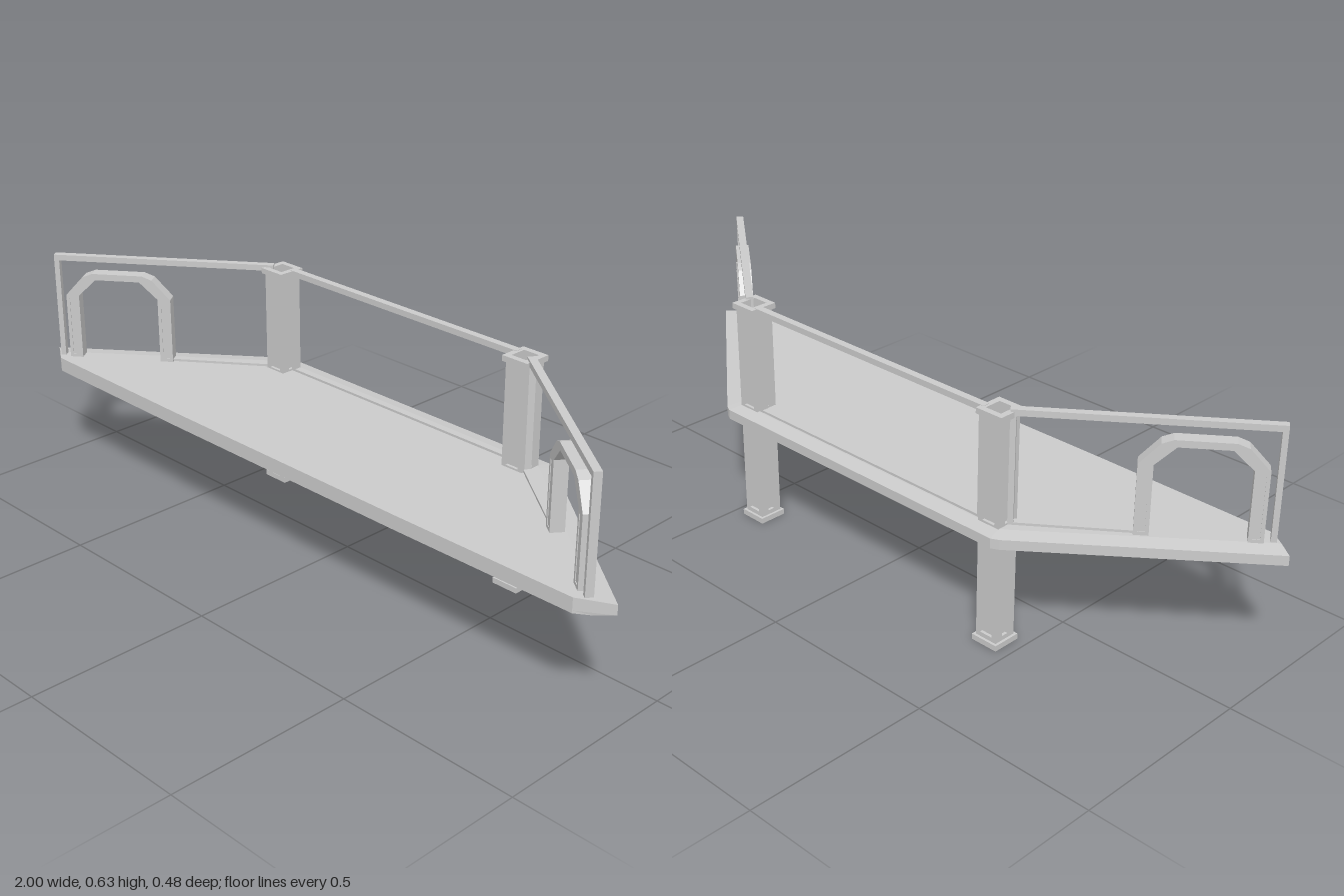
import * as THREE from 'three';

const material = new THREE.MeshStandardMaterial({ color: 0xcccccc, flatShading: true });
const thin = new THREE.MeshStandardMaterial({ color: 0xcccccc, flatShading: true, side: THREE.DoubleSide });

function add(parent, name, geometry, x = 0, y = 0, z = 0, mat = material) {
  const mesh = new THREE.Mesh(geometry, mat);
  mesh.name = name;
  mesh.position.set(x, y, z);
  parent.add(mesh);
  return mesh;
}

function polygon(points, Type = THREE.Shape) {
  return new Type(points.map(([x, y]) => new THREE.Vector2(x, y)));
}

function rect(w, h, x = 0, y = 0) {
  return [[x - w / 2, y - h / 2], [x + w / 2, y - h / 2], [x + w / 2, y + h / 2], [x - w / 2, y + h / 2]];
}

function extrude(points, depth, hole) {
  const shape = polygon(points);
  if (hole) shape.holes.push(polygon(hole, THREE.Path));
  return new THREE.ExtrudeGeometry(shape, { depth, bevelEnabled: false });
}

const mirrorX = pts => pts.concat(pts.map(([x, y]) => [-x, y]).reverse());

const POST = { x: 0.43, z: -0.172, size: 0.064 };
const FLOOR = 0.333;

// Deck: two sheets, a chamfered rim along the back and sides, a front edge
function makeDeck() {
  const deck = new THREE.Group();
  deck.name = 'deck';
  const outer = mirrorX([[1, 0.18], [0.49, -0.23], [0.47, -0.24]]);
  const inset = mirrorX([[0.96, 0.205], [0.475, -0.192], [0.46, -0.2]]);
  const front = [[-0.92, 0.232], [-0.4, 0.237], [0.4, 0.237], [0.92, 0.232]];

  for (const [name, y, dir] of [['deckTop', FLOOR, 1], ['deckUnderside', 0.294, -1]]) {
    const shape = polygon([...inset, ...front].map(([x, z]) => [x, -dir * z]));
    for (const s of [-1, 1]) {
      shape.holes.push(polygon(rect(0.05, 0.05, s * POST.x, -dir * POST.z), THREE.Path));
    }
    add(deck, name, new THREE.ShapeGeometry(shape).rotateX(-dir * Math.PI / 2), 0, y, 0, thin);
  }

  // Consecutive rows of the rim, from the top sheet round to the underside
  const strip = (name, rows) => {
    const pos = [];
    for (let r = 0; r < rows.length - 1; r++) {
      const [a, ya] = rows[r], [b, yb] = rows[r + 1];
      for (let i = 0; i < a.length - 1; i++) {
        const p = (l, k, y) => [l[k][0], y, l[k][1]];
        pos.push(...p(a, i, ya), ...p(b, i, yb), ...p(b, i + 1, yb));
        pos.push(...p(a, i, ya), ...p(b, i + 1, yb), ...p(a, i + 1, ya));
      }
    }
    const g = new THREE.BufferGeometry();
    g.setAttribute('position', new THREE.Float32BufferAttribute(pos, 3));
    g.computeVertexNormals();
    add(deck, name, g, 0, 0, 0, thin);
  };
  // The rim's front tips meet the ends of the front edge
  const close = pts => [front[3], ...pts, front[0]];
  strip('deckRim', [[close(inset), FLOOR], [close(outer), 0.327], [close(outer), 0.301], [close(inset), 0.294]]);
  strip('deckFrontEdge', [[front, FLOOR], [front, 0.294]]);
  return deck;
}

// Rectangular frame around a recessed panel, facing +z
function framedPanel(parent, name, w, h, border, depth) {
  const panel = new THREE.Group();
  panel.name = name;
  add(panel, 'frame', extrude(rect(w, h), depth, rect(w - 2 * border, h - 2 * border)));
  add(panel, 'recess', new THREE.PlaneGeometry(w, h), 0, 0, 0.001);
  parent.add(panel);
  return panel;
}

// Hollow square post, panelled below and above the deck
function makePost(side) {
  const post = new THREE.Group();
  post.name = 'post';
  const s = POST.size, t = 0.009;
  for (const [name, y0, y1] of [['lowerPanel', 0.014, 0.3], ['upperPanel', 0.325, 0.612]]) {
    for (let i = 0; i < 4; i++) {
      const p = framedPanel(post, name, i % 2 ? s - 2 * t : s, y1 - y0, 0.013, t);
      const a = i * Math.PI / 2, r = s / 2 - t;
      p.rotation.y = a;
      p.position.set(Math.sin(a) * r, (y0 + y1) / 2, Math.cos(a) * r);
    }
  }
  for (const [name, y] of [['base', 0], ['cap', 0.61]]) {
    const ring = extrude(rect(0.078, 0.078), 0.015, rect(0.046, 0.046)).rotateX(-Math.PI / 2);
    add(post, name, ring, 0, y, 0);
  }
  post.position.set(side * POST.x, 0, POST.z);
  return post;
}

// Railing running along local x, with top and bottom rails and end uprights
function makeRailing(name, length, top, gaps) {
  const g = new THREE.Group();
  g.name = name;
  add(g, 'topRail', new THREE.BoxGeometry(length, 0.016, 0.02), 0, top - 0.008, 0);
  for (const s of [-1, 1]) {
    add(g, 'upright', new THREE.BoxGeometry(0.014, top - FLOOR, 0.02), s * (length / 2 - 0.007), (top + FLOOR) / 2, 0);
  }
  for (const [a, b] of gaps) {
    add(g, 'bottomRail', new THREE.BoxGeometry(b - a, 0.007, 0.02), (a + b) / 2, FLOOR + 0.003, 0);
  }
  return g;
}

// Chamfered arch with panelled legs
function makeArch() {
  const arch = new THREE.Group();
  arch.name = 'arch';
  const depth = 0.036, w = 0.148, inW = 0.112, spring = 0.517;
  const half = [
    [-inW, FLOOR], [-w, FLOOR], [-w, spring], [-0.098, 0.572], [-0.07, 0.583],
  ];
  const inner = [[0.062, 0.565], [inW, spring]];
  const outline = [
    ...half, ...half.map(([x, y]) => [-x, y]).reverse(),
    ...inner.slice().reverse(), ...inner.map(([x, y]) => [-x, y]),
  ];
  add(arch, 'archBody', extrude(outline, depth - 0.006), 0, 0, -depth / 2 + 0.003);
  for (const face of [0, 1]) {
    for (const s of [-1, 1]) {
      const p = framedPanel(arch, 'legPanel', w - inW, spring - FLOOR, 0.009, 0.003);
      p.rotation.y = face * Math.PI;
      p.position.set(s * (w + inW) / 2, (spring + FLOOR) / 2, (face ? -1 : 1) * (depth / 2 - 0.003));
    }
    // Raised band over the crown
    const band = extrude(outline.filter(([, y]) => y >= spring), 0.003);
    add(arch, 'crownBand', band, 0, 0, face ? -depth / 2 : depth / 2 - 0.003);
  }
  return arch;
}

export function createModel() {
  const model = new THREE.Group();
  model.name = 'balcony';
  model.add(makeDeck());

  const back = makeRailing('backRailing', 0.8, 0.626, [[-0.4, 0.4]]);
  back.position.z = -0.185;
  model.add(back);

  // Slanted sides
  const from = new THREE.Vector2(0.455, -0.165), to = new THREE.Vector2(0.945, 0.208);
  const length = from.distanceTo(to), angle = Math.atan2(to.y - from.y, to.x - from.x);
  for (const s of [-1, 1]) {
    model.add(makePost(s));
    const side = new THREE.Group();
    side.name = s > 0 ? 'leftSide' : 'rightSide';
    const archX = s * (length / 2 - 0.178);
    const gap = [-length / 2, length / 2 - 0.178 - 0.148];
    side.add(makeRailing('sideRailing', length, 0.631, [s > 0 ? gap : [-gap[1], -gap[0]]]));
    const arch = makeArch();
    arch.position.x = archX;
    side.add(arch);
    side.position.set(s * (from.x + to.x) / 2, 0, (from.y + to.y) / 2);
    side.rotation.y = -s * angle;
    model.add(side);
  }
  return model;
}
